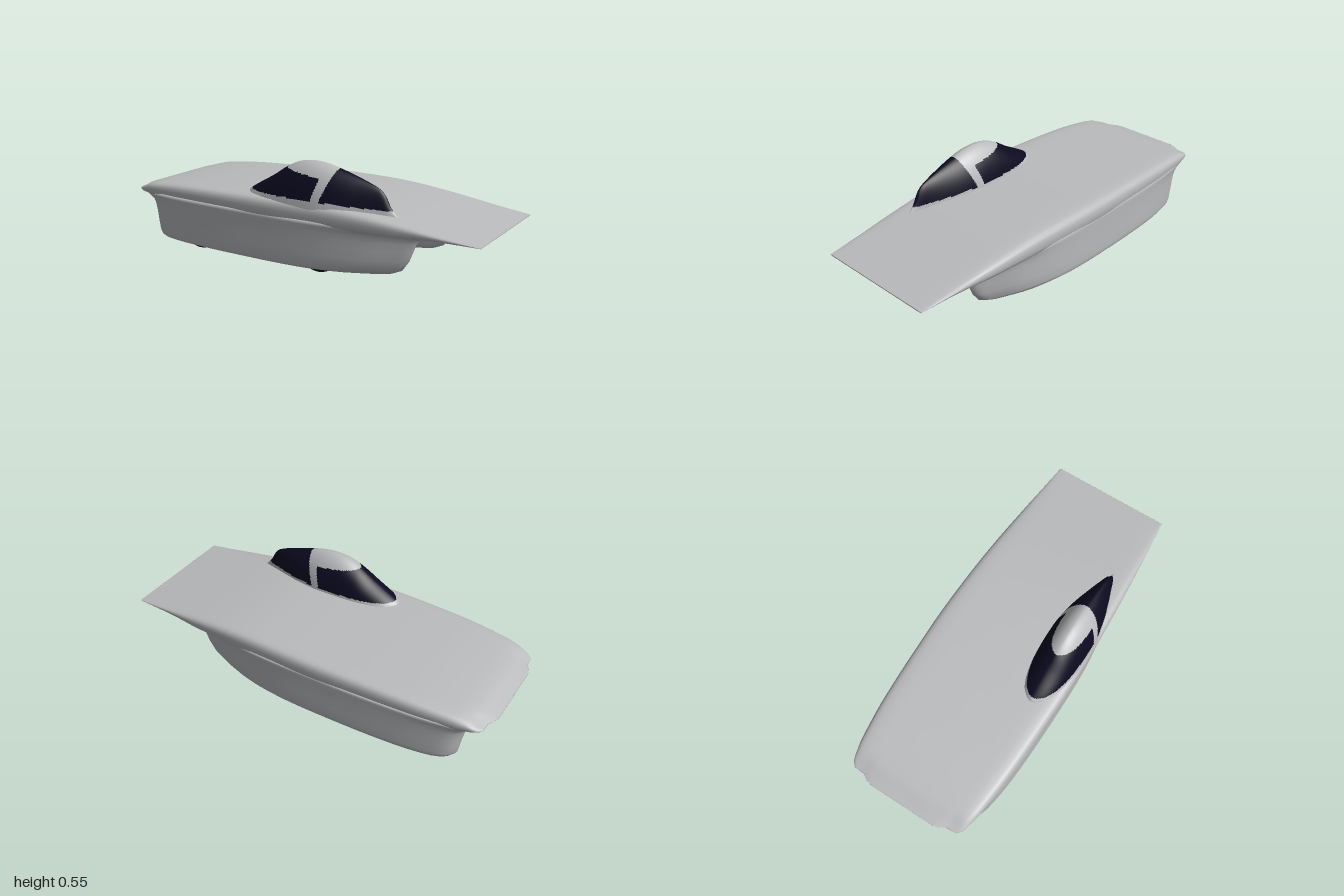
import * as THREE from 'three';

const paint = new THREE.MeshStandardMaterial({ color: 0xb9bbbd });
paint.name = 'silver body';
const dark = new THREE.MeshStandardMaterial({ color: 0x0b0a20 });
dark.name = 'dark glass and rubber';

// Smooth interpolation through a short table of [x, value]
function curve(table) {
  const slope = (i) => {
    const a = table[Math.max(i - 1, 0)], b = table[Math.min(i + 1, table.length - 1)];
    return (b[1] - a[1]) / (b[0] - a[0]);
  };
  return (x) => {
    let i = 0;
    while (i < table.length - 2 && x > table[i + 1][0]) i++;
    const [x0, y0] = table[i], [x1, y1] = table[i + 1], d = x1 - x0;
    const t = THREE.MathUtils.clamp((x - x0) / d, 0, 1), u = 1 - t;
    return y0 * (1 + 2 * t) * u * u + slope(i) * d * t * u * u
      + y1 * t * t * (3 - 2 * t) - slope(i + 1) * d * t * t * u;
  };
}

// Skin over a list of rings; closed rings get end caps.
// isDark, if given, sorts faces into two material groups.
function loft(rings, closed, isDark) {
  const n = rings[0].length, pos = rings.flat(2), lists = [[], []];
  const index = (i, j) => i * n + (j % n);
  for (let i = 0; i < rings.length - 1; i++) {
    for (let j = 0; j < (closed ? n : n - 1); j++) {
      const a = index(i, j), b = index(i, j + 1), c = index(i + 1, j + 1), d = index(i + 1, j);
      const mid = [0, 1, 2].map((k) => (pos[a * 3 + k] + pos[b * 3 + k] + pos[c * 3 + k] + pos[d * 3 + k]) / 4);
      lists[isDark && isDark(...mid) ? 1 : 0].push(a, b, c, a, c, d);
    }
  }
  if (closed) {
    [0, rings.length - 1].forEach((r, end) => {
      const centre = pos.length / 3;
      for (let k = 0; k < 3; k++) pos.push(rings[r].reduce((s, p) => s + p[k], 0) / n);
      for (let j = 0; j < n; j++) {
        const a = index(r, j), b = index(r, j + 1);
        lists[0].push(centre, ...(end ? [a, b] : [b, a]));
      }
    });
  }
  const geometry = new THREE.BufferGeometry();
  geometry.setAttribute('position', new THREE.Float32BufferAttribute(pos, 3));
  geometry.setIndex([...lists[0], ...lists[1]]);
  geometry.addGroup(0, lists[0].length, 0);
  geometry.addGroup(lists[0].length, lists[1].length, 1);
  geometry.computeVertexNormals();
  return geometry;
}

function add(parent, name, geometry, material) {
  const mesh = new THREE.Mesh(geometry, material);
  mesh.name = name;
  parent.add(mesh);
  return mesh;
}

const deckTop = curve([[-1, 0.284], [-0.97, 0.294], [-0.9, 0.318], [-0.8, 0.334], [-0.6, 0.35], [-0.2, 0.361],
  [0.2, 0.361], [0.4, 0.35], [0.6, 0.328], [0.8, 0.3], [1, 0.273]]);
const deckBottom = curve([[-1, 0.276], [-0.95, 0.268], [-0.85, 0.258], [0.6, 0.257], [0.7, 0.264], [0.8, 0.268], [1, 0.268]]);
const deckHalfWidth = curve([[-1, 0.295], [-0.97, 0.318], [-0.9, 0.334], [-0.8, 0.35], [-0.6, 0.37], [-0.2, 0.386],
  [0, 0.387], [0.3, 0.377], [0.6, 0.357], [1, 0.322]]);

// Wide wing-like deck with rounded edges and a slightly notched nose
function deckGeometry() {
  const half = [[0, 0], [0.3, 0], [0.6, 0], [0.72, 0], [0.82, 0.005], [0.9, 0.03], [0.95, 0.08], [0.98, 0.18], [0.995, 0.32],
    [1, 0.5], [0.995, 0.72], [0.98, 0.9], [0.95, 1], [0.8, 1], [0.6, 1], [0.3, 1], [0, 1]];
  const section = [...half, ...half.slice(1, -1).reverse().map(([z, y]) => [-z, y])];
  const rings = [];
  for (let i = 0; i <= 80; i++) {
    const x = -Math.cos((i / 80) * Math.PI);
    const top = deckTop(x), thick = top - deckBottom(x), w = deckHalfWidth(x);
    rings.push(section.map(([fz, fy]) => {
      const z = fz * w;
      const notch = 0.03 * THREE.MathUtils.smoothstep(Math.abs(z), 0.19, 0.25) * Math.max(0, 1 - (x + 1) / 0.15);
      return [x + notch, top - fy * thick, z];
    }));
  }
  return loft(rings, true);
}

// Boat-shaped pod stacked from plan outlines, flaring into the deck
function podGeometry() {
  const outer = curve([[0, 0.27], [0.02, 0.31], [0.06, 0.337], [0.2, 0.365], [0.45, 0.378], [0.7, 0.372],
    [0.85, 0.335], [0.96, 0.275], [0.99, 0.252], [1, 0.232]]);
  const inner = curve([[0, 0.27], [0.02, 0.23], [0.06, 0.204], [0.2, 0.172], [0.45, 0.161], [0.7, 0.163],
    [0.85, 0.178], [0.96, 0.203], [0.99, 0.215], [1, 0.232]]);
  // height, nose x, tail x, width scale, inward flare
  const levels = [[0.036, -0.78, 0.4, 0.85, 0], [0.039, -0.82, 0.48, 0.92, 0], [0.048, -0.842, 0.54, 0.96, 0],
    [0.07, -0.856, 0.59, 0.985, 0], [0.12, -0.865, 0.625, 0.995, 0], [0.17, -0.873, 0.645, 1, 0],
    [0.21, -0.882, 0.66, 1.01, 0.002], [0.235, -0.895, 0.677, 1.02, 0.008], [0.25, -0.915, 0.7, 1.025, 0.02],
    [0.262, -0.935, 0.735, 1.03, 0.038], [0.28, -0.955, 0.77, 1.03, 0.06]];
  const n = 40;
  const rings = levels.map(([y, nose, tail, k, flare]) => {
    const ring = [];
    for (let j = 0; j < 2 * n; j++) {
      const s = (1 - Math.cos((j / n) * Math.PI)) / 2;
      const z = j <= n ? outer(s) : inner(s) - flare * Math.sin(Math.PI * s) ** 0.5;
      ring.push([nose + (tail - nose) * s, y, 0.27 + (z - 0.27) * k]);
    }
    return ring;
  });
  return loft(rings, true);
}

// Teardrop cockpit bubble with windscreen and rear window areas
function canopyGeometry() {
  const height = curve([[-0.26, 0.345], [-0.24, 0.37], [-0.1, 0.452], [-0.02, 0.504], [0.05, 0.535], [0.12, 0.546],
    [0.2, 0.54], [0.3, 0.515], [0.4, 0.484], [0.48, 0.452], [0.51, 0.425], [0.54, 0.37], [0.58, 0.325]]);
  const halfWidth = curve([[-0.26, 0.01], [-0.24, 0.04], [-0.2, 0.073], [-0.1, 0.1], [0, 0.11], [0.1, 0.113],
    [0.2, 0.11], [0.3, 0.093], [0.4, 0.064], [0.5, 0.03], [0.58, 0.008]]);
  const rings = [];
  for (let i = 0; i <= 200; i++) {
    const x = -0.26 + 0.84 * (i / 200), base = deckTop(x) - 0.03, h = Math.max(height(x) - base, 0.001);
    const ring = [];
    for (let j = 0; j <= 80; j++) {
      const a = (j / 80) * Math.PI, c = -Math.cos(a), s = Math.sin(a);
      const z = Math.sign(c) * (halfWidth(x) * Math.abs(c) ** 1.15 + 0.006 * (1 - s) ** 4);
      ring.push([x, base + h * s, 0.26 + z]);
    }
    rings.push(ring);
  }
  const glass = (x, y) => {
    const up = y - 0.375, sill = 0.375 - 0.018 * THREE.MathUtils.clamp((x - 0.2) / 0.34, 0, 1);
    const windscreen = x < 0.17 + 0.29 * up && y < 0.505 - 0.11 * (x + 0.03);
    const rearWindow = x > 0.215 + 0.37 * up;
    return y > sill && (windscreen || rearWindow);
  };
  return loft(rings, false, glass);
}

// Narrow wheel with a rounded tread, axis along z
function wheelGeometry() {
  const profile = [[0, -0.016], [0.1, -0.016], [0.113, -0.012], [0.119, -0.006], [0.12, 0],
    [0.119, 0.006], [0.113, 0.012], [0.1, 0.016], [0, 0.016]].map(([r, y]) => new THREE.Vector2(r, y));
  return new THREE.LatheGeometry(profile, 48).rotateX(Math.PI / 2);
}

export function createModel() {
  const car = new THREE.Group();
  car.name = 'solarCar';
  add(car, 'deck', deckGeometry(), paint);
  add(car, 'canopy', canopyGeometry(), [paint, dark]);

  const pod = podGeometry(), wheel = wheelGeometry();
  for (const [side, sign] of [['left', 1], ['right', -1]]) {
    add(car, side === 'left' ? 'nearPod' : 'farPod', pod, paint).scale.z = sign;
    for (const [end, x] of [['front', -0.575], ['rear', 0.16]]) {
      add(car, `${end}${sign > 0 ? 'Near' : 'Far'}Wheel`, wheel, dark).position.set(x, 0.12, sign * 0.277);
    }
  }
  return car;
}
